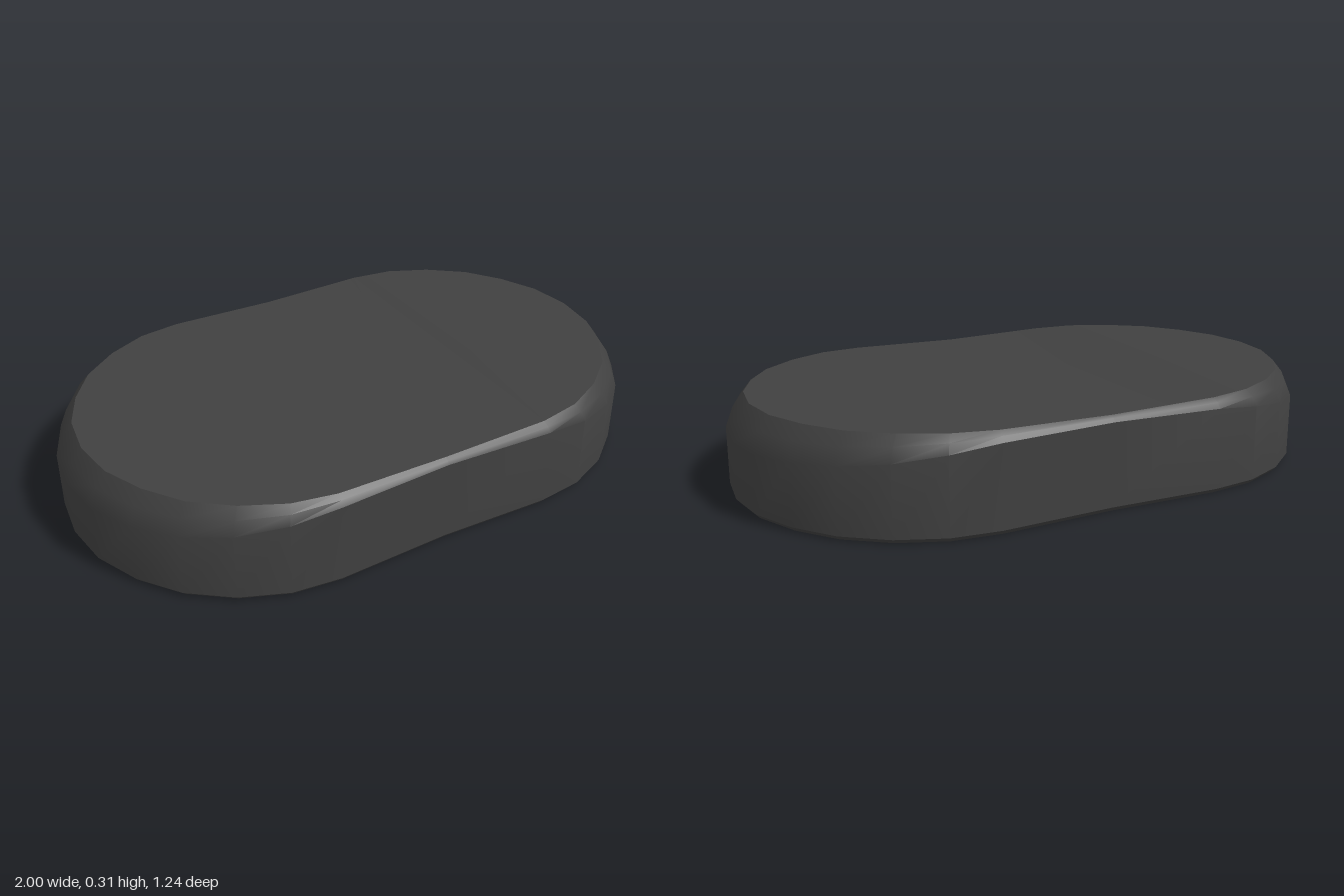
import * as THREE from 'three';
import { toCreasedNormals } from 'three/addons/utils/BufferGeometryUtils.js';

// One quarter of the outline, from the +x end to the waist at x = 0:
// [outer x, outer z, shoulder height, top rim x, top rim z, top rim height]
const QUARTER = [
  [1.0, 0, 0.2, 0.94, 0, 0.315],
  [0.98, 0.16, 0.204, 0.92, 0.15, 0.315],
  [0.915, 0.31, 0.212, 0.86, 0.285, 0.315],
  [0.82, 0.437, 0.224, 0.775, 0.405, 0.315],
  [0.69, 0.537, 0.24, 0.655, 0.5, 0.315],
  [0.54, 0.6, 0.262, 0.52, 0.565, 0.314],
  [0.38, 0.619, 0.28, 0.375, 0.59, 0.311],
  [0, 0.606, 0.285, 0, 0.588, 0.304],
];
const N = 4 * (QUARTER.length - 1);

// Mirrors a quarter section into a closed ring of points
function makeRing(pick) {
  const q = QUARTER.length - 1;
  return Array.from({ length: N }, (_, i) => {
    const half = i <= N / 2 ? i : N - i;
    const [x, y, z] = pick(QUARTER[half <= q ? half : 2 * q - half]);
    return [half <= q ? x : -x, y, i <= N / 2 ? z : -z];
  });
}

function bodyGeometry() {
  const rings = [
    makeRing(([x, z]) => [x * 0.988, 0, z * 0.982]),
    makeRing(([x, z]) => [x, 0.014, z]),
    makeRing(([x, z, y]) => [x, y, z]),
    // slightly bulged middle of the top bevel
    makeRing(([x, z, y, rx, rz, ry]) => [
      x + (rx - x) * 0.42, y + (ry - y) * 0.58, z + (rz - z) * 0.38,
    ]),
    makeRing(([, , , rx, rz, ry]) => [rx, ry, rz]),
  ];
  const index = [];
  // walls and bevels
  for (let r = 0; r < rings.length - 1; r++) {
    for (let i = 0; i < N; i++) {
      const j = (i + 1) % N;
      const a = r * N + i, b = r * N + j, c = a + N, d = b + N;
      index.push(a, c, b, b, c, d);
    }
  }
  // top and bottom, as strips running across the body
  const top = (rings.length - 1) * N;
  for (let i = 0; i < N / 2; i++) {
    const p = i, p2 = i + 1, q = (N - i) % N, q2 = N - i - 1;
    if (i > 0) {
      index.push(top + q, top + p2, top + p);
      index.push(q, p, p2);
    }
    if (i < N / 2 - 1) {
      index.push(top + q, top + q2, top + p2);
      index.push(q, p2, q2);
    }
  }
  const geometry = new THREE.BufferGeometry();
  geometry.setAttribute('position', new THREE.Float32BufferAttribute(rings.flat(2), 3));
  geometry.setIndex(index);
  return toCreasedNormals(geometry, 0.5);
}

export function createModel() {
  const group = new THREE.Group();
  const body = new THREE.Mesh(bodyGeometry(), new THREE.MeshStandardMaterial({ color: 0x404040 }));
  body.name = 'body';
  group.add(body);
  return group;
}
